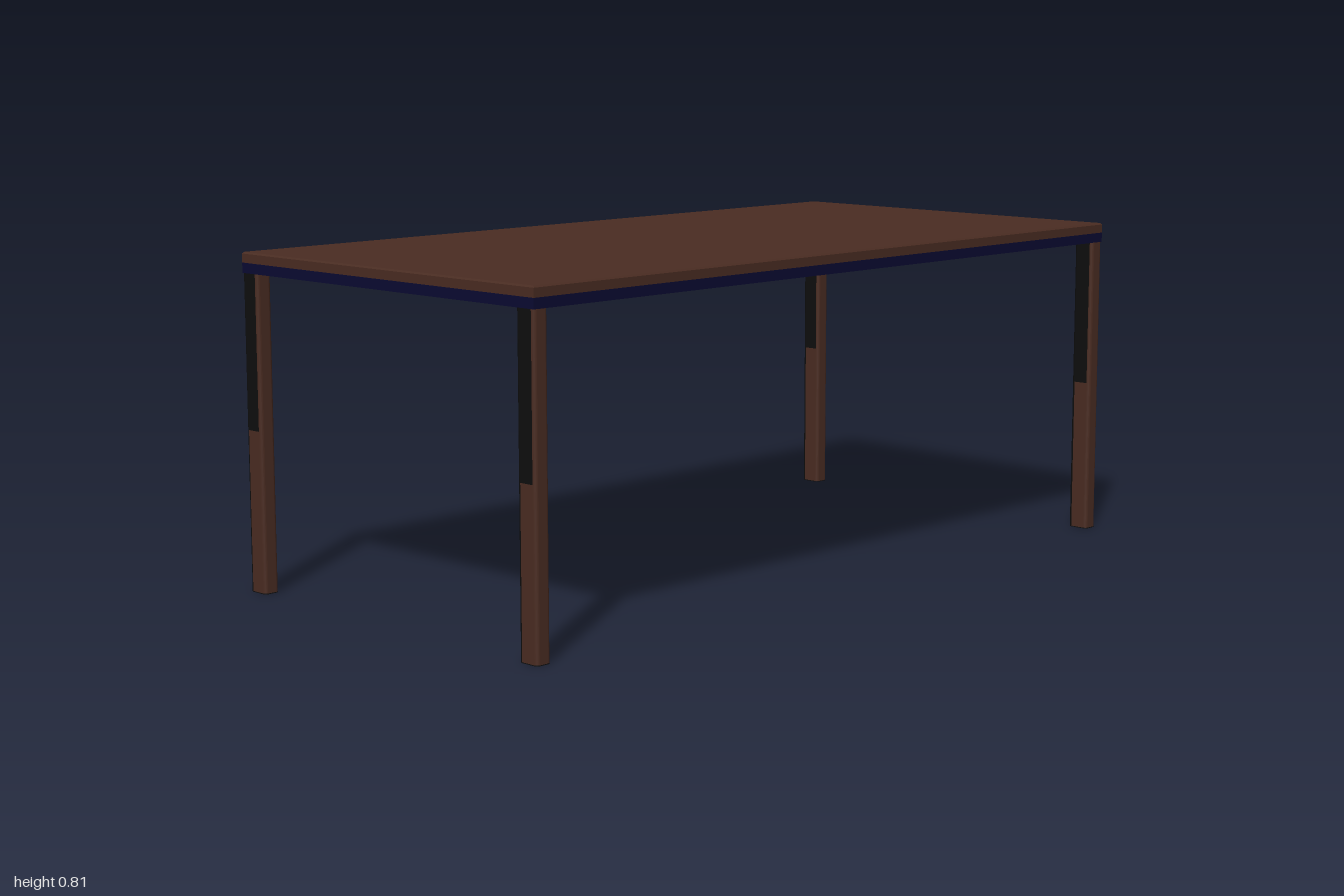
import * as THREE from 'three';

const wood = new THREE.MeshStandardMaterial({ color: 0x4a2c22 });
wood.name = 'dark wood';
const black = new THREE.MeshStandardMaterial({ color: 0x0e0e0e });
black.name = 'black';
const navy = new THREE.MeshStandardMaterial({ color: 0x0a0a32 });
navy.name = 'navy';

const LEG_W = 0.04, LEG_D = 0.056, ROUND = 0.009, LEG_H = 0.757, SPLIT = 0.388, FOOT = 0.002;

function add(parent, name, geometry, material, x = 0, y = 0, z = 0) {
  const mesh = new THREE.Mesh(geometry, material);
  mesh.name = name;
  mesh.position.set(x, y, z);
  parent.add(mesh);
  return mesh;
}

// Upright strip whose outer corners are rounded, from y = 0 up, z from 0 to ROUND
function roundedStrip(height) {
  const s = new THREE.Shape(), w = LEG_W / 2, r = ROUND;
  s.moveTo(-w, 0);
  s.lineTo(w, 0);
  s.absarc(w - r, 0, r, 0, Math.PI / 2, false);
  s.absarc(-w + r, 0, r, Math.PI / 2, Math.PI, false);
  const g = new THREE.ExtrudeGeometry(s, { depth: height, bevelEnabled: false, curveSegments: 5 });
  g.rotateX(-Math.PI / 2); // strip now bulges towards -z
  return g;
}

// Slab with a small chamfer along its upper edges
function chamferedSlab(w, h, d, c) {
  const g = new THREE.BoxGeometry(w, h - c, d).translate(0, (h - c) / 2, 0);
  const cap = new THREE.CylinderGeometry(Math.SQRT1_2, Math.SQRT1_2, c, 4, 1).rotateY(Math.PI / 4).toNonIndexed();
  const p = cap.attributes.position;
  for (let i = 0; i < p.count; i++) {
    const inset = p.getY(i) > 0 ? c : 0;
    p.setX(i, p.getX(i) * (w - 2 * inset));
    p.setZ(i, p.getZ(i) * (d - 2 * inset));
  }
  cap.translate(0, h - c / 2, 0);
  cap.computeVertexNormals();
  return [g, cap];
}

function makeLeg() {
  const leg = new THREE.Group();
  const midD = LEG_D - 2 * ROUND;
  const strip = roundedStrip(LEG_H - FOOT);
  // wooden front face, black back face
  add(leg, 'legFront', strip, wood, 0, FOOT, midD / 2).rotation.y = Math.PI;
  add(leg, 'legBack', strip, black, 0, FOOT, -midD / 2);
  // sides: wood below, black above
  add(leg, 'legLowerSides', new THREE.BoxGeometry(LEG_W, SPLIT - FOOT, midD), wood, 0, (SPLIT + FOOT) / 2, 0);
  add(leg, 'legUpperSides', new THREE.BoxGeometry(LEG_W, LEG_H - SPLIT, midD), black, 0, (LEG_H + SPLIT) / 2, 0);
  // foot pad
  const pad = roundedStrip(FOOT);
  add(leg, 'footFront', pad, black, 0, 0, midD / 2).rotation.y = Math.PI;
  add(leg, 'footBack', pad, black, 0, 0, -midD / 2);
  add(leg, 'footMiddle', new THREE.BoxGeometry(LEG_W, FOOT, midD), black, 0, FOOT / 2, 0);
  return leg;
}

export function createModel() {
  const table = new THREE.Group();
  table.name = 'table';

  // Table top
  const [slab, edge] = chamferedSlab(2, 0.025, 1, 0.004);
  add(table, 'tableTop', slab, wood, 0, 0.781, 0);
  add(table, 'tableTopEdge', edge, wood, 0, 0.781, 0);

  // Frame under the top, open in the middle
  const ring = new THREE.Shape([[-1, -0.5], [1, -0.5], [1, 0.5], [-1, 0.5]].map(([x, y]) => new THREE.Vector2(x, y)));
  const t = 0.04;
  ring.holes.push(new THREE.Path([[-1 + t, -0.5 + t], [-1 + t, 0.5 - t], [1 - t, 0.5 - t], [1 - t, -0.5 + t]]
    .map(([x, y]) => new THREE.Vector2(x, y))));
  const frame = new THREE.ExtrudeGeometry(ring, { depth: 0.024, bevelEnabled: false });
  frame.rotateX(-Math.PI / 2);
  add(table, 'frame', frame, navy, 0, 0.757, 0);

  // Four legs, all facing the front
  for (const x of [-1, 1]) {
    for (const z of [-1, 1]) {
      const leg = makeLeg();
      leg.name = (z > 0 ? 'front' : 'back') + (x > 0 ? 'Left' : 'Right') + 'Leg';
      leg.position.set(x * (1 - LEG_W / 2), 0, z * (0.5 - LEG_D / 2));
      table.add(leg);
    }
  }
  return table;
}
